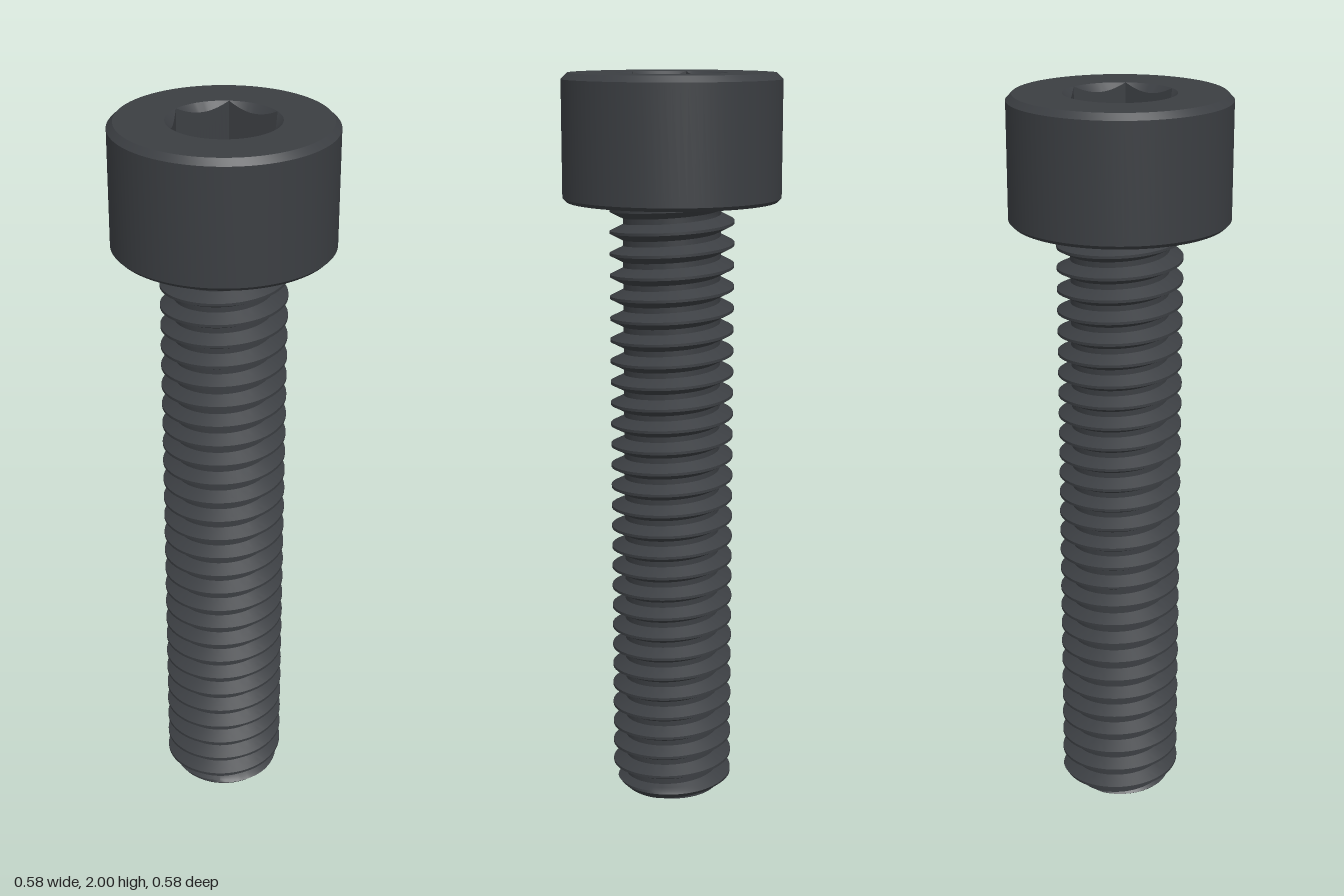
import * as THREE from 'three';
import { toCreasedNormals } from 'three/addons/utils/BufferGeometryUtils.js';

const TAU = Math.PI * 2;
const SEGS = 96;
const HEAD_Y = 1.667;      // underside of the head
const PITCH = 0.0583;
const CREST = 0.167, ROOT = 0.131;
const PHASE = 0.0067;      // crest height at the front
const FILLET = 0.035;

// Surface of rows swept around y; at(row, angle) gives [radius, height].
function sweep(rows, at) {
  const pos = [], index = [], a = new THREE.Vector3(), b = new THREE.Vector3(), c = new THREE.Vector3();
  for (let i = 0; i < rows; i++) {
    for (let j = 0; j <= SEGS; j++) {
      const phi = (j / SEGS) * TAU;
      const [r, y] = at(i, phi);
      pos.push(r * Math.sin(phi), y, r * Math.cos(phi));
    }
  }
  const addTriangle = (...tri) => {
    [a, b, c].forEach((v, k) => v.fromArray(pos, tri[k] * 3));
    if (b.sub(a).cross(c.sub(a)).length() > 1e-9) index.push(...tri);
  };
  for (let i = 0; i < rows - 1; i++) {
    for (let j = 0; j < SEGS; j++) {
      const p = i * (SEGS + 1) + j, q = p + SEGS + 1;
      addTriangle(p, p + 1, q);
      addTriangle(p + 1, q + 1, q);
    }
  }
  const geo = new THREE.BufferGeometry();
  geo.setAttribute('position', new THREE.Float32BufferAttribute(pos, 3));
  geo.setIndex(index);
  return toCreasedNormals(geo, 0.5);
}

// Radius of the threaded shank, with tip chamfer and fillet under the head
function shankRadius(y, phi) {
  const t = (y - PHASE) / PITCH - phi / TAU;
  const d = Math.abs(t - Math.round(t));
  let r = CREST - (CREST - ROOT) * THREE.MathUtils.clamp((d - 0.0625) / 0.3125, 0, 1);
  const h = y - (HEAD_Y - FILLET);
  if (h > 0) r = Math.max(r, ROOT + FILLET - Math.sqrt(Math.max(0, FILLET * FILLET - h * h)));
  return Math.min(r, 0.135 + y);
}

function shankGeometry() {
  const steps = [-0.0625, 0.0625, 0.167, 0.271, 0.375, 0.5, 0.625, 0.729, 0.833];
  const turns = Math.ceil(HEAD_Y / PITCH) + 3;
  return sweep(turns * steps.length + 1, (i, phi) => {
    if (i === 0) return [0, 0]; // centre of the flat tip
    const k = i - 1;
    const turn = Math.floor(k / steps.length) - 2 + steps[k % steps.length] + phi / TAU;
    const y = THREE.MathUtils.clamp(turn * PITCH + PHASE, 0, HEAD_Y);
    return [shankRadius(y, phi), y];
  });
}

// Hexagonal recess with a conical lead-in and flat floor
function socketGeometry(rim, apothem, floorY) {
  const sixth = Math.PI / 3;
  return sweep(4, (i, phi) => {
    const local = phi - Math.round(phi / sixth) * sixth;
    const r = Math.min(rim, apothem / Math.cos(local));
    return [[rim, 2], [r, 2 - (rim - r)], [r, floorY], [0, floorY]][i];
  });
}

export function createModel() {
  const group = new THREE.Group();
  group.name = 'socketHeadScrew';
  const material = new THREE.MeshStandardMaterial({ color: 0x3b3e42 });
  const add = (name, geometry) => {
    const mesh = new THREE.Mesh(geometry, material);
    mesh.name = name;
    group.add(mesh);
  };

  // Cylindrical head, chamfered at both rims and open at the socket
  const headProfile = [
    [0.15, HEAD_Y], [0.281, HEAD_Y], [0.291, HEAD_Y + 0.01],
    [0.291, 1.984], [0.275, 2], [0.147, 2],
  ];
  add('head', sweep(headProfile.length, (i) => headProfile[i]));
  add('hexSocket', socketGeometry(0.147, 0.1273, 1.833));
  add('threadedShank', shankGeometry());
  return group;
}
